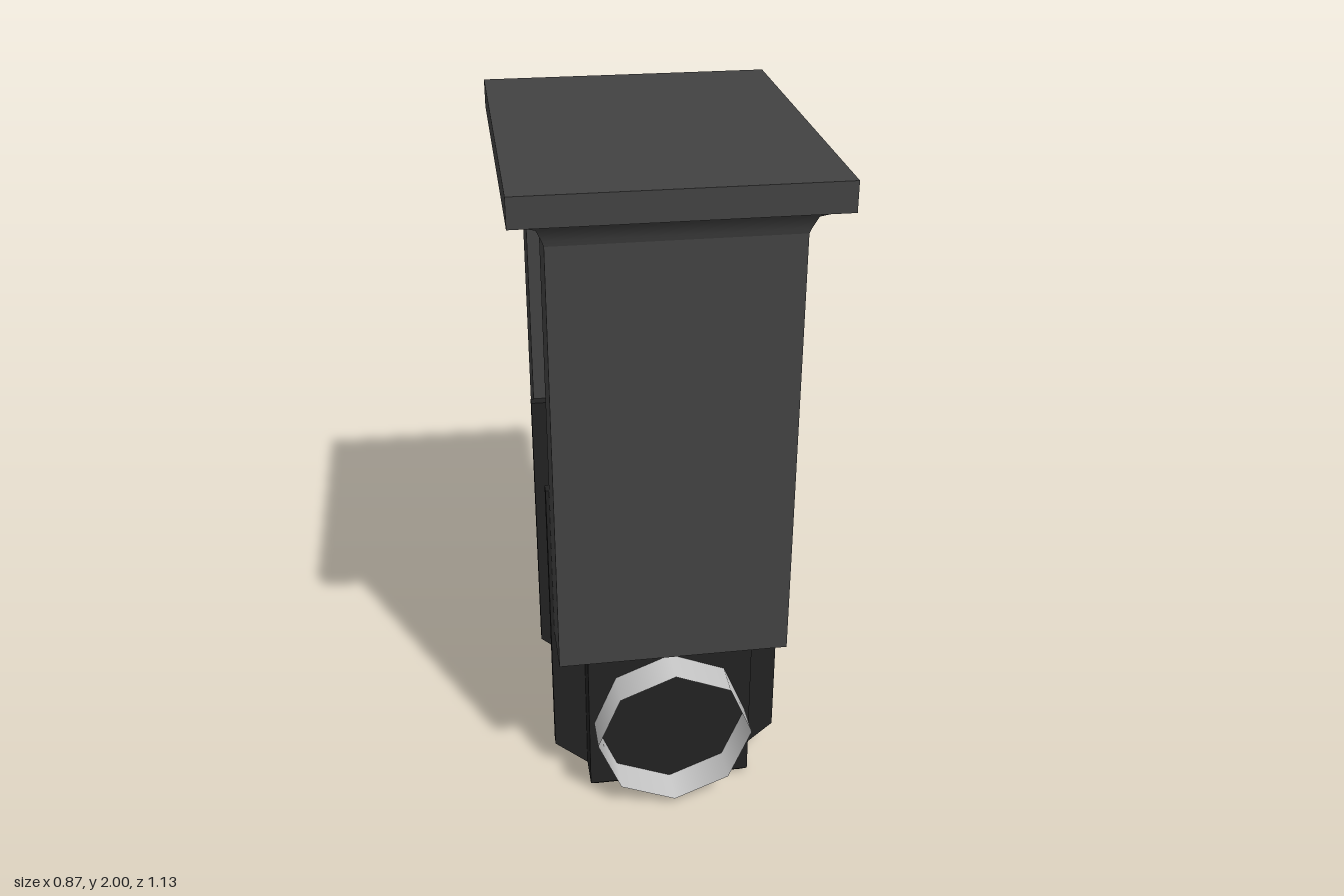
import * as THREE from 'three';

const frameMat = new THREE.MeshStandardMaterial({ color: 0x424242 });
const bodyMat = new THREE.MeshStandardMaterial({ color: 0x222222 });
const ringMat = new THREE.MeshStandardMaterial({ color: 0xcccccc, side: THREE.DoubleSide });

function add(parent, name, geometry, material, x = 0, y = 0, z = 0) {
  const mesh = new THREE.Mesh(geometry, material);
  mesh.name = name;
  mesh.position.set(x, y, z);
  parent.add(mesh);
  return mesh;
}

// Box between two heights
function slab(parent, name, material, w, d, y0, y1, z = 0) {
  return add(parent, name, new THREE.BoxGeometry(w, y1 - y0, d), material, 0, (y0 + y1) / 2, z);
}

// Rectangular shell through levels [halfX, halfZ, y]; smooth up each side, sharp at corners
function rectLoft(levels) {
  const corners = [[1, 1], [1, -1], [-1, -1], [-1, 1]];
  const pos = [], index = [];
  for (let s = 0; s < 4; s++) {
    const a = corners[s], b = corners[(s + 1) % 4], start = pos.length / 3;
    levels.forEach(([hx, hz, y], i) => {
      pos.push(a[0] * hx, y, a[1] * hz, b[0] * hx, y, b[1] * hz);
      if (i === 0) return;
      const k = start + 2 * (i - 1);
      index.push(k, k + 1, k + 3, k, k + 3, k + 2);
    });
  }
  const g = new THREE.BufferGeometry();
  g.setAttribute('position', new THREE.Float32BufferAttribute(pos, 3));
  g.setIndex(index);
  g.computeVertexNormals();
  return g;
}

export function createModel() {
  const model = new THREE.Group();
  model.name = 'hangingBracket';

  // Top plate
  slab(model, 'topPlate', frameMat, 0.87, 1.13, 1.917, 2);

  for (const [side, s] of [['front', 1], ['back', -1]]) {
    // Hanger leg with a flared fillet under the plate
    const z = s * 0.387;
    slab(model, side + 'Leg', frameMat, 0.68, 0.168, 0.535, 1.835, z);
    const flare = rectLoft([
      [0.34, 0.084, 1.835], [0.345, 0.089, 1.85],
      [0.36, 0.102, 1.885], [0.425, 0.155, 1.918],
    ]);
    add(model, side + 'LegFlare', flare, frameMat, 0, 0, z);

    // Open eight-sided collar on the end of the body
    const ring = new THREE.CylinderGeometry(0.235, 0.235, 0.11, 8, 1, true);
    ring.rotateX(Math.PI / 2);
    add(model, side + 'Collar', ring, ringMat, 0, 0.255, s * 0.455);
  }

  // Hanging body with a slightly bevelled underside
  slab(model, 'body', bodyMat, 0.5, 0.8, 0.018, 1.04);
  add(model, 'bodyBevel', rectLoft([[0.232, 0.382, 0], [0.25, 0.4, 0.018]]), bodyMat);
  const base = new THREE.PlaneGeometry(0.464, 0.764).rotateX(Math.PI / 2);
  add(model, 'bodyBase', base, bodyMat);

  // Cross ribs standing out past the body's sides, cut away at the bottom corners
  const rib = new THREE.Shape([
    [-0.235, 0.005], [0.235, 0.005], [0.35, 0.105], [0.35, 1.032], [-0.35, 1.032], [-0.35, 0.105],
  ].map(([x, y]) => new THREE.Vector2(x, y)));
  const ribGeometry = new THREE.ExtrudeGeometry(rib, { depth: 0.033, bevelEnabled: false });
  ribGeometry.translate(0, 0, -0.0165);
  add(model, 'frontRib', ribGeometry, bodyMat, 0, 0, 0.282);
  add(model, 'backRib', ribGeometry, bodyMat, 0, 0, -0.282);

  return model;
}
